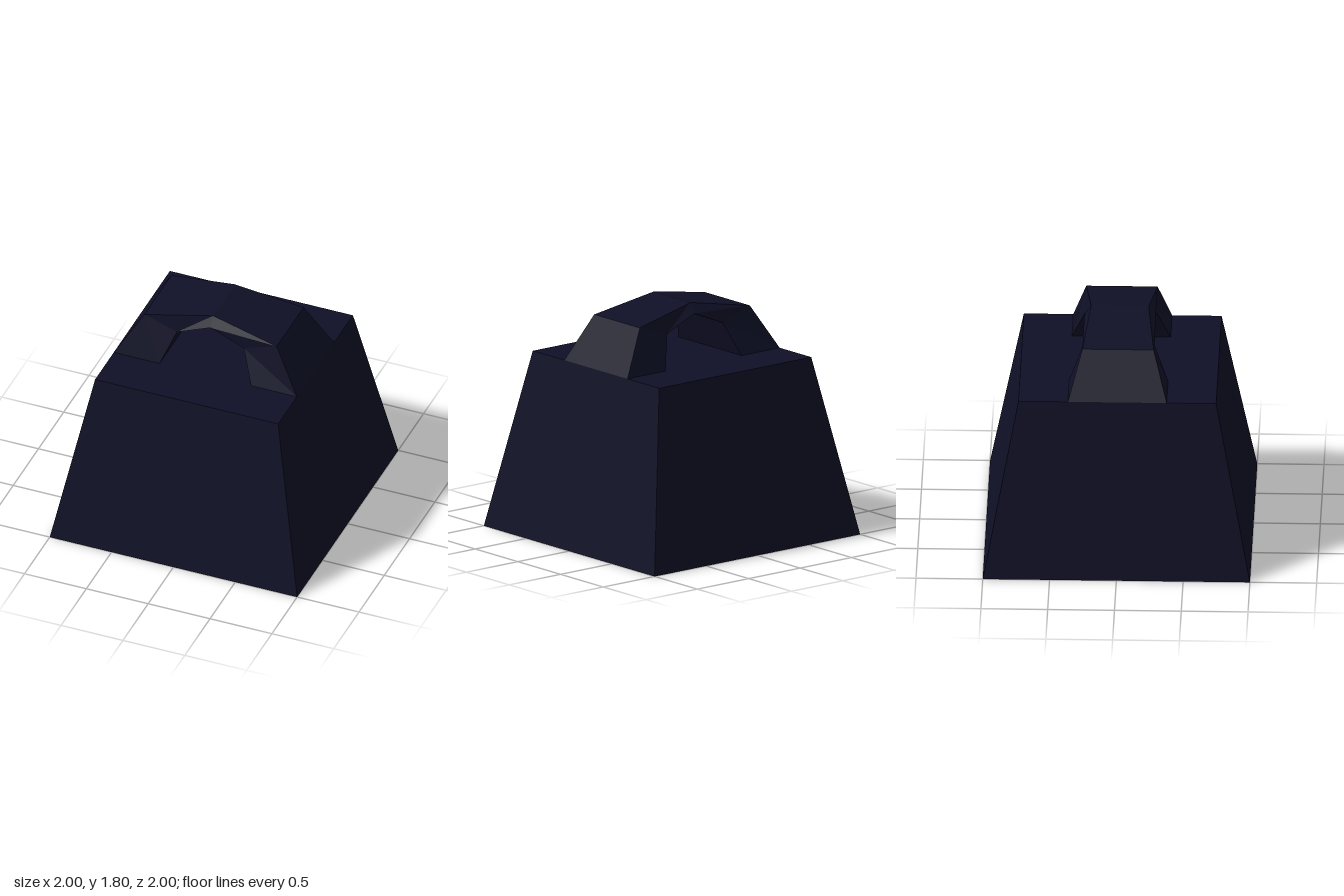
import * as THREE from 'three';

// Arch handle: a four-cornered section swept through stations from +x to -x.
function archGeometry() {
  // outer x, outer y, outer half depth, inner x, inner y, inner half depth
  const half = [
    [0.74, 1.36, 0.37, 0.37, 1.36, 0.37],
    [0.535, 1.7, 0.267, 0.27, 1.61, 0.267],
  ];
  const crown = [0, 1.8, 0.215, 0, 1.725, 0.267];
  const mirrored = half.map(([ox, oy, oz, ix, iy, iz]) => [-ox, oy, oz, -ix, iy, iz]).reverse();
  const stations = [...half, crown, ...mirrored];

  const positions = [];
  const indices = [];
  for (const [ox, oy, oz, ix, iy, iz] of stations) {
    positions.push(ox, oy, oz, ix, iy, iz, ix, iy, -iz, ox, oy, -oz);
  }
  for (let s = 0; s < stations.length - 1; s++) {
    for (let k = 0; k < 4; k++) {
      const a = s * 4 + k;
      const b = s * 4 + ((k + 1) % 4);
      const c = b + 4;
      const d = a + 4;
      indices.push(a, d, c, a, c, b);
    }
  }
  const geometry = new THREE.BufferGeometry();
  geometry.setAttribute('position', new THREE.Float32BufferAttribute(positions, 3));
  geometry.setIndex(indices);
  const flat = geometry.toNonIndexed();
  flat.computeVertexNormals();
  return flat;
}

export function createModel() {
  const group = new THREE.Group();
  group.name = 'weight';

  const iron = new THREE.MeshStandardMaterial({ color: 0x0f1026, flatShading: true });
  iron.name = 'dark navy iron';

  // Tapered square body
  const height = 1.36;
  const bodyGeometry = new THREE.CylinderGeometry(0.74 * Math.SQRT2, Math.SQRT2, height, 4);
  bodyGeometry.rotateY(Math.PI / 4);
  const body = new THREE.Mesh(bodyGeometry, iron);
  body.name = 'body';
  body.position.y = height / 2;
  group.add(body);

  // Arched handle on top
  const handle = new THREE.Mesh(archGeometry(), iron);
  handle.name = 'handle';
  group.add(handle);

  return group;
}
